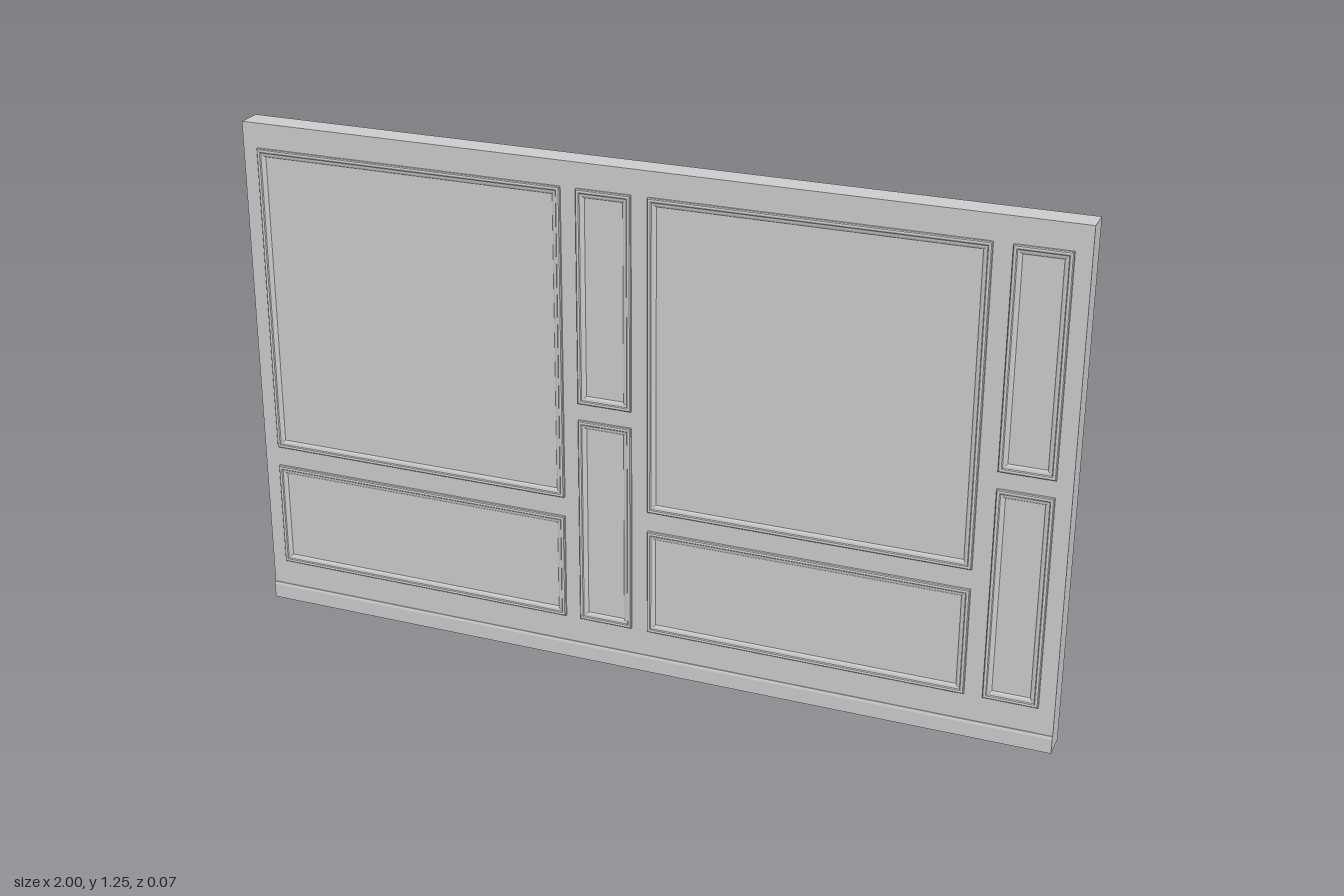
import * as THREE from 'three';

const WALL_BACK = -0.035, WALL_FRONT = 0.027;

// Moulding cross-section: [inset from the outer edge, height above the wall]
const PROFILE = [
  [0, 0], [0, 0.0055], [0.002, 0.0078], [0.005, 0.0085], [0.008, 0.0078],
  [0.010, 0.0055], [0.015, 0.0045], [0.018, 0.003], [0.020, 0],
];

// Mitred rectangular moulding: the profile swept around four corners
function mouldingGeometry(x0, x1, y0, y1) {
  const ring = ([inset, h]) => [
    [x0 + inset, y0 + inset, WALL_FRONT + h],
    [x1 - inset, y0 + inset, WALL_FRONT + h],
    [x1 - inset, y1 - inset, WALL_FRONT + h],
    [x0 + inset, y1 - inset, WALL_FRONT + h],
  ];
  const rings = PROFILE.map(ring);
  const positions = [];
  for (let i = 0; i < rings.length - 1; i++) {
    for (let c = 0; c < 4; c++) {
      const n = (c + 1) % 4;
      const a = rings[i][c], b = rings[i][n], d = rings[i + 1][c], e = rings[i + 1][n];
      positions.push(...a, ...b, ...e, ...a, ...e, ...d);
    }
  }
  const geometry = new THREE.BufferGeometry();
  geometry.setAttribute('position', new THREE.Float32BufferAttribute(positions, 3));
  geometry.computeVertexNormals();
  return geometry;
}

export function createModel() {
  const model = new THREE.Group();
  model.name = 'panelledWall';
  const material = new THREE.MeshStandardMaterial({ color: 0xcccccc });
  const add = (name, geometry) => {
    const mesh = new THREE.Mesh(geometry, material);
    mesh.name = name;
    model.add(mesh);
    return mesh;
  };

  // Wall slab
  const depth = WALL_FRONT - WALL_BACK;
  add('wall', new THREE.BoxGeometry(2, 1.25, depth))
    .position.set(0, 0.625, (WALL_FRONT + WALL_BACK) / 2);

  // Skirting board with a slightly sloped top edge
  const section = new THREE.Shape();
  section.moveTo(0, 0);
  section.lineTo(0.004, 0);
  section.lineTo(0.004, 0.036);
  section.lineTo(0.002, 0.043);
  section.lineTo(0, 0.043);
  const skirting = new THREE.ExtrudeGeometry(section, { depth: 2, bevelEnabled: false });
  skirting.rotateY(-Math.PI / 2); // section x -> z, length -> -x
  add('skirtingBoard', skirting).position.set(1, 0, WALL_FRONT);

  // Wide and narrow columns, each holding an upper and a lower frame
  const columns = [
    { name: 'wide', spans: [[-0.962, -0.19], [0.02, 0.792]], split: [0.375, 0.425] },
    { name: 'narrow', spans: [[-0.152, -0.02], [0.835, 0.963]], split: [0.63, 0.672] },
  ];
  for (const { name, spans, split } of columns) {
    for (const [x0, x1] of spans) {
      add(`${name}LowerFrame`, mouldingGeometry(x0, x1, 0.11, split[0]));
      add(`${name}UpperFrame`, mouldingGeometry(x0, x1, split[1], 1.19));
    }
  }
  return model;
}
